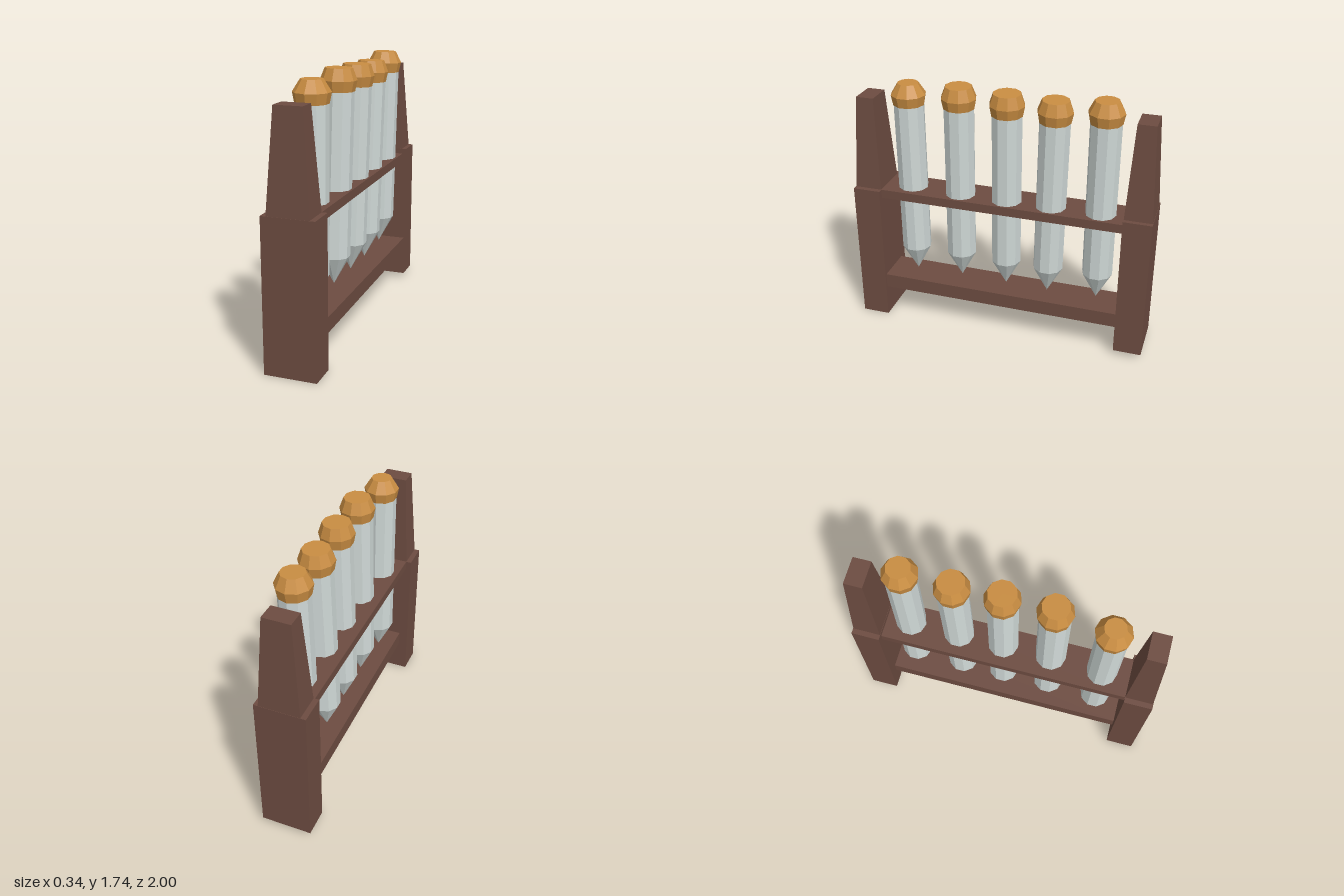
import * as THREE from 'three';

const material = (color) => new THREE.MeshStandardMaterial({ color, flatShading: true });

// Box given by its limits; the top face can be narrowed by factors tx and tz
function block(name, mat, [x0, x1], [y0, y1], [z0, z1], tx = 1, tz = 1) {
  const geo = new THREE.BoxGeometry(x1 - x0, y1 - y0, z1 - z0);
  const p = geo.attributes.position;
  for (let i = 0; i < p.count; i++) {
    if (p.getY(i) > 0) p.setXYZ(i, p.getX(i) * tx, p.getY(i), p.getZ(i) * tz);
  }
  geo.computeVertexNormals();
  const mesh = new THREE.Mesh(geo, mat);
  mesh.name = name;
  mesh.position.set((x0 + x1) / 2, (y0 + y1) / 2, (z0 + z1) / 2);
  return mesh;
}

function lathe(name, mat, profile) {
  const points = profile.map(([r, y]) => new THREE.Vector2(r, y));
  const mesh = new THREE.Mesh(new THREE.LatheGeometry(points, 10), mat);
  mesh.name = name;
  return mesh;
}

export function createModel() {
  const model = new THREE.Group();
  model.name = 'testTubeRack';
  const wood = material(0x6d4c41);
  const glass = material(0xcfd8d6);
  const cork = material(0xc98d42);

  // End posts with tapered upper parts
  model.add(
    block('frontPost', wood, [-0.165, 0.17], [0, 0.975], [0.815, 1]),
    block('frontPostTop', wood, [-0.13, 0.135], [0.975, 1.6], [0.817, 0.998], 0.67, 0.65),
    block('backPost', wood, [-0.173, 0.16], [0.035, 1.01], [-1, -0.815]),
    block('backPostTop', wood, [-0.138, 0.13], [1.01, 1.63], [-0.998, -0.817], 0.67, 0.65),
  );

  // Shelf that holds the tubes and the rail below them
  model.add(
    block('shelf', wood, [-0.13, 0.135], [0.915, 0.975], [-0.83, 0.83]),
    block('lowerRail', wood, [-0.105, 0.155], [0.22, 0.32], [-0.83, 0.83]),
  );

  // Tubes: tip position, position of the stopper top, radius of the stopper top
  const tubes = [
    { tip: [0.0, 0.325, 0.633], top: [0.01, 1.705, 0.635], r: 0.068 },
    { tip: [0.01, 0.34, 0.297], top: [0.042, 1.73, 0.28], r: 0.086 },
    { tip: [0.01, 0.33, -0.022], top: [0.047, 1.72, -0.038], r: 0.09 },
    { tip: [0.01, 0.325, -0.312], top: [0.043, 1.71, -0.345], r: 0.087 },
    { tip: [0.01, 0.34, -0.65], top: [0.04, 1.74, -0.658], r: 0.077 },
  ];
  const up = new THREE.Vector3(0, 1, 0);
  tubes.forEach(({ tip, top, r }, i) => {
    const start = new THREE.Vector3(...tip);
    const axis = new THREE.Vector3(...top).sub(start);
    const h = axis.length();
    const tube = new THREE.Group();
    tube.name = `tube${i + 1}`;
    tube.position.copy(start);
    tube.quaternion.setFromUnitVectors(up, axis.normalize());
    tube.add(
      lathe('glassTube', glass, [[0, 0], [0.1, 0.192], [0.1, h - 0.14]]),
      lathe('stopper', cork, [[0, h - 0.142], [0.102, h - 0.142], [0.115, h - 0.075], [r, h], [0, h]]),
    );
    model.add(tube);
  });

  return model;
}
